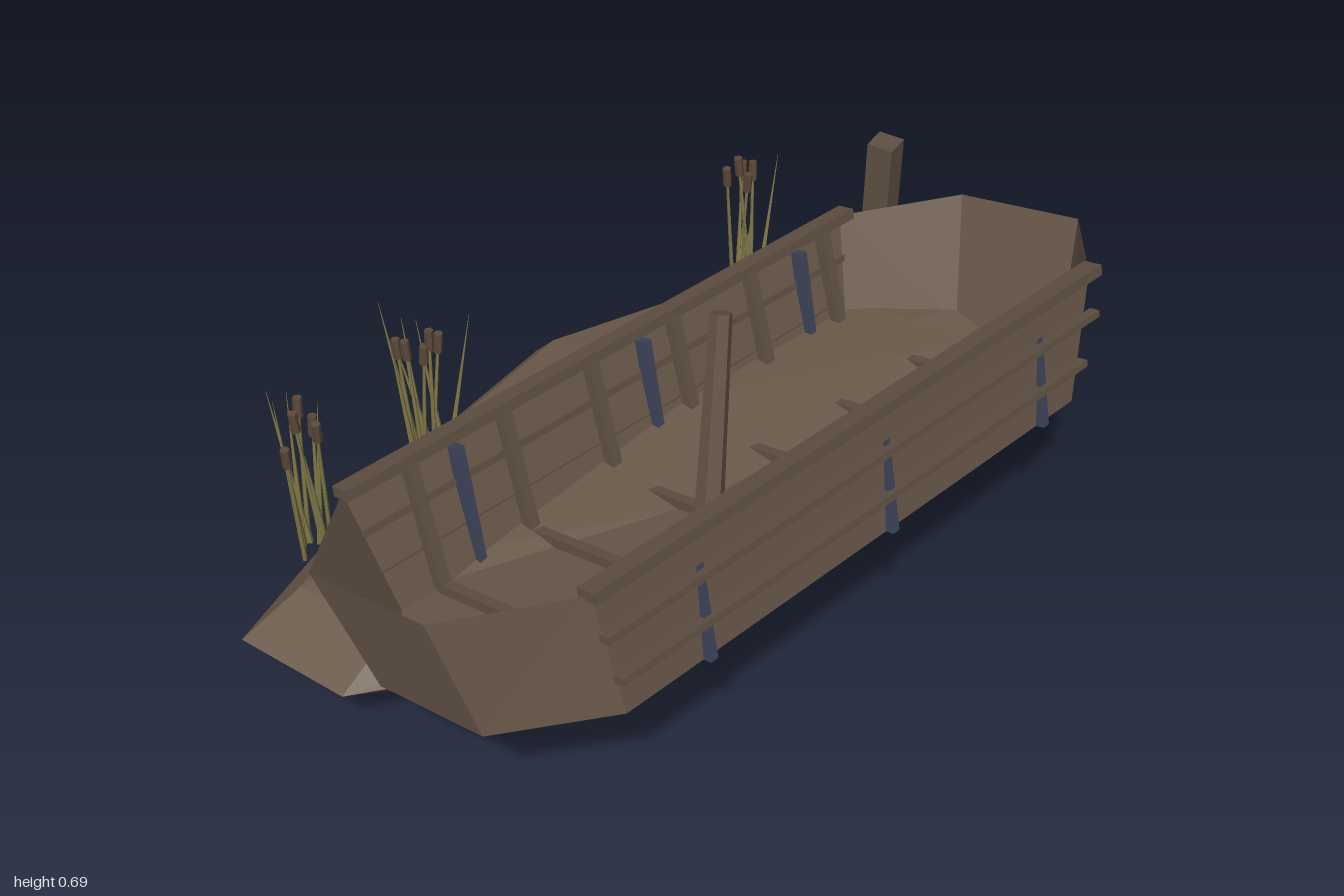
import * as THREE from 'three';

const mat = (name, color, side = THREE.FrontSide) => {
  const m = new THREE.MeshStandardMaterial({ color, side, flatShading: true });
  m.name = name;
  return m;
};

// Stack of closed rings (arrays of [x, y, z]) joined into a shell with end caps
function loft(rings, capStart, capEnd) {
  const n = rings[0].length, pos = rings.flat(2), idx = [];
  for (let r = 0; r < rings.length - 1; r++)
    for (let i = 0; i < n; i++) {
      const a = r * n + i, b = r * n + (i + 1) % n;
      idx.push(a, a + n, b, b, a + n, b + n);
    }
  const cap = (r, point, flip) => {
    const c = pos.length / 3;
    pos.push(...point);
    for (let i = 0; i < n; i++) {
      const a = r * n + i, b = r * n + (i + 1) % n;
      idx.push(...(flip ? [c, b, a] : [c, a, b]));
    }
  };
  if (capStart) cap(0, capStart, false);
  if (capEnd) cap(rings.length - 1, capEnd, true);
  const g = new THREE.BufferGeometry();
  g.setAttribute('position', new THREE.Float32BufferAttribute(pos, 3));
  g.setIndex(idx);
  const flat = g.toNonIndexed();
  flat.computeVertexNormals();
  return flat;
}

let seed = 7;
const rand = () => (seed = (seed * 16807) % 2147483647) / 2147483647;
const spread = (r) => (rand() * 2 - 1) * r;

export function createModel() {
  const model = new THREE.Group();
  const mud = mat('mud brown', 0x6b5a4b);
  const wood = mat('hull wood', 0x6a594a, THREE.DoubleSide);
  const trim = mat('trim wood', 0x5f4f42);
  const iron = mat('blue grey strap', 0x3c4358);
  const reed = mat('reed olive', 0x7d7545);
  const head = mat('reed head brown', 0x5b4839);

  const add = (parent, name, geo, material, x = 0, y = 0, z = 0) => {
    const mesh = new THREE.Mesh(geo, material);
    mesh.name = name;
    mesh.position.set(x, y, z);
    parent.add(mesh);
    return mesh;
  };
  const box = (parent, name, m, size, p) => add(parent, name, new THREE.BoxGeometry(...size), m, ...p);
  const up = new THREE.Vector3(0, 1, 0);
  // Tapered stick between two points
  const stick = (parent, name, m, a, b, r0, r1, sides) => {
    const d = b.clone().sub(a);
    const mesh = add(parent, name, new THREE.CylinderGeometry(r1, r0, d.length(), sides), m);
    mesh.position.copy(a).add(b).multiplyScalar(0.5);
    mesh.quaternion.setFromUnitVectors(up, d.normalize());
    return mesh;
  };

  // Mud mound: one outline scaled through five levels, the top levels leaning up to the front
  const rim = [[0.01, -0.575], [0.58, -0.45], [0.91, -0.22], [1, 0.07], [0.8, 0.2],
    [0.28, 0.34], [-0.32, 0.335], [-0.92, 0.01], [-0.97, -0.24], [-0.52, -0.44]];
  const levels = [[0.5, 0.025, 0], [0.87, 0.078, 0], [1, 0.15, 0], [0.87, 0.222, 0.02], [0.58, 0.259, 0.05]];
  const cz = -0.08;
  const moundRings = levels.map(([s, y, lean]) => rim.map(([x, z]) =>
    [x * s, y + lean * (z - cz) * s, cz + (z - cz) * s]));
  add(model, 'mound', loft(moundRings, [0, 0, cz], [0, 0.29, cz]), mud);

  // Stranded boat, heeled over on the mound
  const boat = new THREE.Group();
  boat.name = 'boat';
  boat.position.set(-0.105, 0.55, 0.175);
  boat.rotation.set(-0.22, 0.085, -0.045, 'YXZ');
  model.add(boat);

  const octagon = (ex, ez, sx, sz, y) => [[ex, -ez], [ex, ez], [sx, sz], [-sx, sz],
    [-ex, ez], [-ex, -ez], [-sx, -sz], [sx, -sz]].map(([x, z]) => [x, y, z]);
  const bottom = octagon(0.81, 0.135, 0.63, 0.295, -0.267);
  const sheer = octagon(0.885, 0.15, 0.68, 0.32, 0);
  add(boat, 'hull', loft([bottom, sheer], [0, -0.267, 0]), wood);

  // Upright straps pass through the flaring sides
  for (const s of [1, -1]) {
    box(boat, 'gunwale', trim, [1.385, 0.022, 0.04], [0.006, 0.001, s * 0.317]);
    box(boat, 'upperBatten', trim, [1.36, 0.014, 0.022], [0.012, -0.092, s * 0.319]);
    box(boat, 'lowerBatten', trim, [1.3, 0.014, 0.022], [0, -0.184, s * 0.314]);
    for (const x of [-0.435, 0.055, 0.52])
      box(boat, 'strap', iron, [0.018, 0.25, 0.028], [x, -0.142, s * 0.299]);
  }

  // Ribs across the floor and up both sides
  for (let i = 0; i < 6; i++) {
    const x = -0.54 + i * 0.228;
    box(boat, 'floorRib', trim, [0.022, 0.02, 0.57], [x, -0.257, 0]);
    for (const s of [1, -1])
      box(boat, 'sideRib', trim, [0.024, 0.255, 0.024], [x, -0.131, s * 0.292]).rotation.x = s * 0.09;
  }

  // Broken mast and mooring post
  stick(model, 'mastStump', trim, new THREE.Vector3(-0.22, 0.3, 0.23),
    new THREE.Vector3(-0.105, 0.678, 0.14), 0.029, 0.022, 6);
  const post = box(model, 'mooringPost', trim, [0.058, 0.32, 0.058], [0.698, 0.405, -0.21]);
  post.rotation.set(0.045, 0.3, 0.02);

  // Reed clumps behind the boat
  for (const [cx, cz2] of [[-0.79, -0.25], [-0.47, -0.31], [0.38, -0.325]]) {
    const clump = new THREE.Group();
    clump.name = 'reedClump';
    clump.position.set(cx, 0.275, cz2);
    model.add(clump);
    for (let i = 0; i < 5; i++) {
      const a = new THREE.Vector3(spread(0.035), 0, spread(0.035));
      const b = new THREE.Vector3(a.x * 1.2 + spread(0.03), 0.25 + rand() * 0.08, a.z * 1.2 + spread(0.03));
      stick(clump, 'reedStem', reed, a, b, 0.005, 0.003, 5);
      const d = b.clone().sub(a).normalize();
      stick(clump, 'reedHead', head, b.clone().addScaledVector(d, -0.025),
        b.clone().addScaledVector(d, 0.018), 0.009, 0.009, 6);
    }
    for (let i = 0; i < 6; i++) {
      const a = new THREE.Vector3(spread(0.035), 0, spread(0.035));
      const b = new THREE.Vector3(a.x * 1.4 + spread(0.04), 0.2 + rand() * 0.16, a.z * 1.4 + spread(0.04));
      stick(clump, 'reedBlade', reed, a, b, 0.008, 0.0005, 4);
    }
  }
  return model;
}
